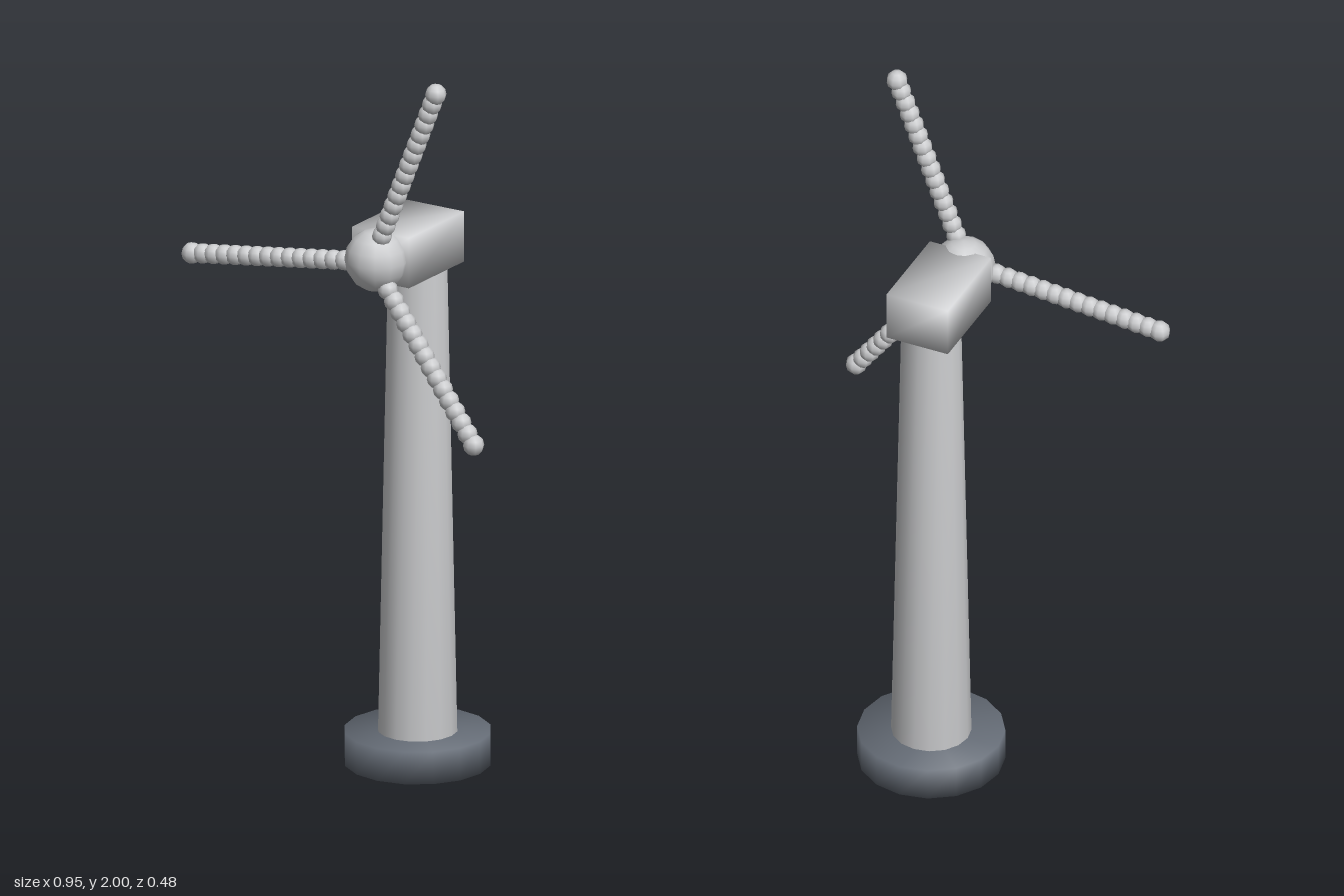
import * as THREE from 'three';
import { mergeVertices } from 'three/addons/utils/BufferGeometryUtils.js';

const paint = new THREE.MeshStandardMaterial({ name: 'light grey', color: 0xcbccce });
const concrete = new THREE.MeshStandardMaterial({ name: 'slate grey', color: 0x656c76 });

// Share corner normals so that shading is smooth over every edge
function smooth(geometry) {
  geometry.deleteAttribute('uv');
  geometry.deleteAttribute('normal');
  const merged = mergeVertices(geometry, 1e-4);
  merged.computeVertexNormals();
  return merged;
}

function add(parent, name, geometry, material, x, y, z) {
  const mesh = new THREE.Mesh(geometry, material);
  mesh.name = name;
  mesh.position.set(x, y, z);
  parent.add(mesh);
  return mesh;
}

export function createModel() {
  const model = new THREE.Group();
  model.name = 'windTurbine';
  const X = 0.108, Z = -0.047;

  // Foundation, tapered tower and nacelle
  add(model, 'foundation', smooth(new THREE.CylinderGeometry(0.197, 0.197, 0.09, 16)), concrete, X, 0.045, Z);
  add(model, 'tower', smooth(new THREE.CylinderGeometry(0.08, 0.107, 1.31, 16)), paint, X, 0.74, Z);
  add(model, 'nacelle', smooth(new THREE.BoxGeometry(0.18, 0.14, 0.27)), paint, X, 1.46, 0);

  // Rotor: hub with three beaded blades
  const rotor = new THREE.Group();
  rotor.name = 'rotor';
  rotor.position.set(X, 1.46, 0.154);
  model.add(rotor);
  add(rotor, 'hub', smooth(new THREE.SphereGeometry(0.086, 12, 8)), paint, 0, 0, 0);

  const bead = smooth(new THREE.SphereGeometry(0.0275, 8, 6));
  const tip = smooth(new THREE.SphereGeometry(0.029, 8, 6));
  const beads = 15, length = 0.558, step = 0.0337;
  for (let b = 0; b < 3; b++) {
    const blade = new THREE.Group();
    blade.name = `blade${b + 1}`;
    rotor.add(blade);
    const angle = THREE.MathUtils.degToRad(67.1 + 120 * b);
    for (let i = 0; i < beads; i++) {
      const r = length - i * step;
      // Blades lean slightly forward toward the tip
      const z = 0.046 - 0.0015 * i;
      add(blade, i ? 'bladeBead' : 'bladeTip', i ? bead : tip, paint,
        r * Math.cos(angle), r * Math.sin(angle), z);
    }
  }
  return model;
}
